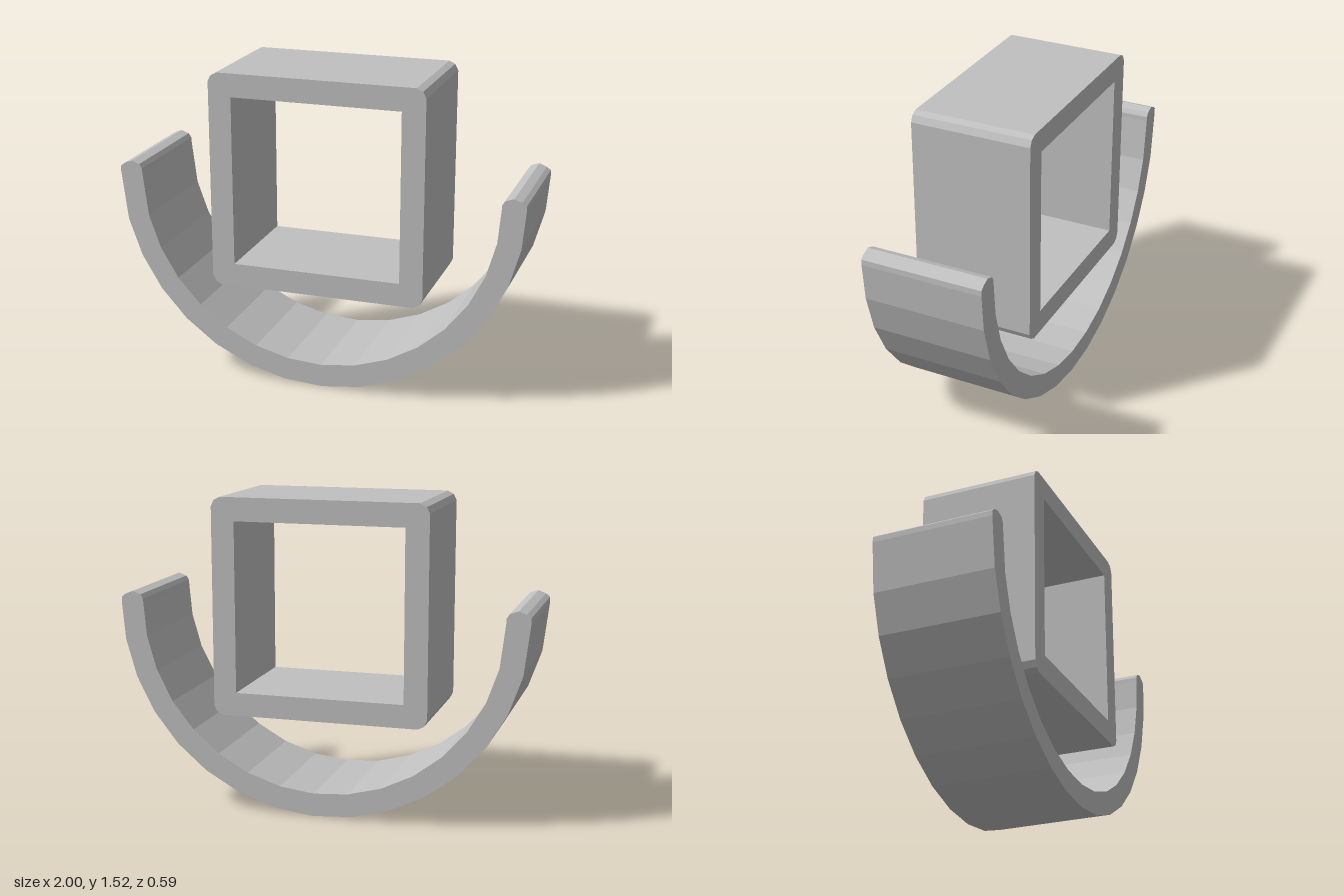
import * as THREE from 'three';

const DEPTH = 0.586;
const CENTRE_Y = 1.003;

// Extrude a profile along z, centred on z = 0
function prism(name, shape, material) {
  const geometry = new THREE.ExtrudeGeometry(shape, { depth: DEPTH, bevelEnabled: false });
  geometry.translate(0, 0, -DEPTH / 2);
  const mesh = new THREE.Mesh(geometry, material);
  mesh.name = name;
  return mesh;
}

const toPoints = (list) => list.map(([x, y]) => new THREE.Vector2(x, y));

export function createModel() {
  const group = new THREE.Group();
  group.name = 'squareTubeWithCradle';
  const grey = new THREE.MeshStandardMaterial({ color: 0xc0c0c0 });
  grey.name = 'grey';

  // Square tube with small faceted outer corners and a sharp inner opening
  const h = 0.527, outer = [];
  const corner = [[h, h - 0.045], [h - 0.016, h - 0.014], [h - 0.045, h]];
  for (let i = 0; i < 4; i++) {
    const c = Math.round(Math.cos(i * Math.PI / 2)), s = Math.round(Math.sin(i * Math.PI / 2));
    for (const [x, y] of corner) outer.push([x * c - y * s, CENTRE_Y + x * s + y * c]);
  }
  const tube = new THREE.Shape(toPoints(outer));
  const w = 0.414;
  tube.holes.push(new THREE.Path(toPoints([
    [-w, CENTRE_Y - w], [-w, CENTRE_Y + w], [w, CENTRE_Y + w], [w, CENTRE_Y - w],
  ])));
  group.add(prism('squareTube', tube, grey));

  // Half-ring cradle: faceted arc from the right tip round to the left tip
  const angles = [0];
  for (let i = 0; i < 15; i++) angles.push(14 + i * 11.11);
  angles.push(180);
  const arc = (r) => angles.map((deg) => {
    const a = THREE.MathUtils.degToRad(deg);
    return [-r * Math.cos(a), CENTRE_Y - r * Math.sin(a)];
  });
  // Rounded tip, listed from the outside of the arm to the inside
  const tip = [[0.997, 1.03], [0.977, 1.046], [0.94, 1.06], [0.9, 1.046], [0.886, 1.025]];
  const profile = [
    ...arc(0.998),
    ...tip,
    ...arc(0.885).reverse(),
    ...tip.map(([x, y]) => [-x, y]).reverse(),
  ];
  group.add(prism('curvedCradle', new THREE.Shape(toPoints(profile)), grey));

  return group;
}
